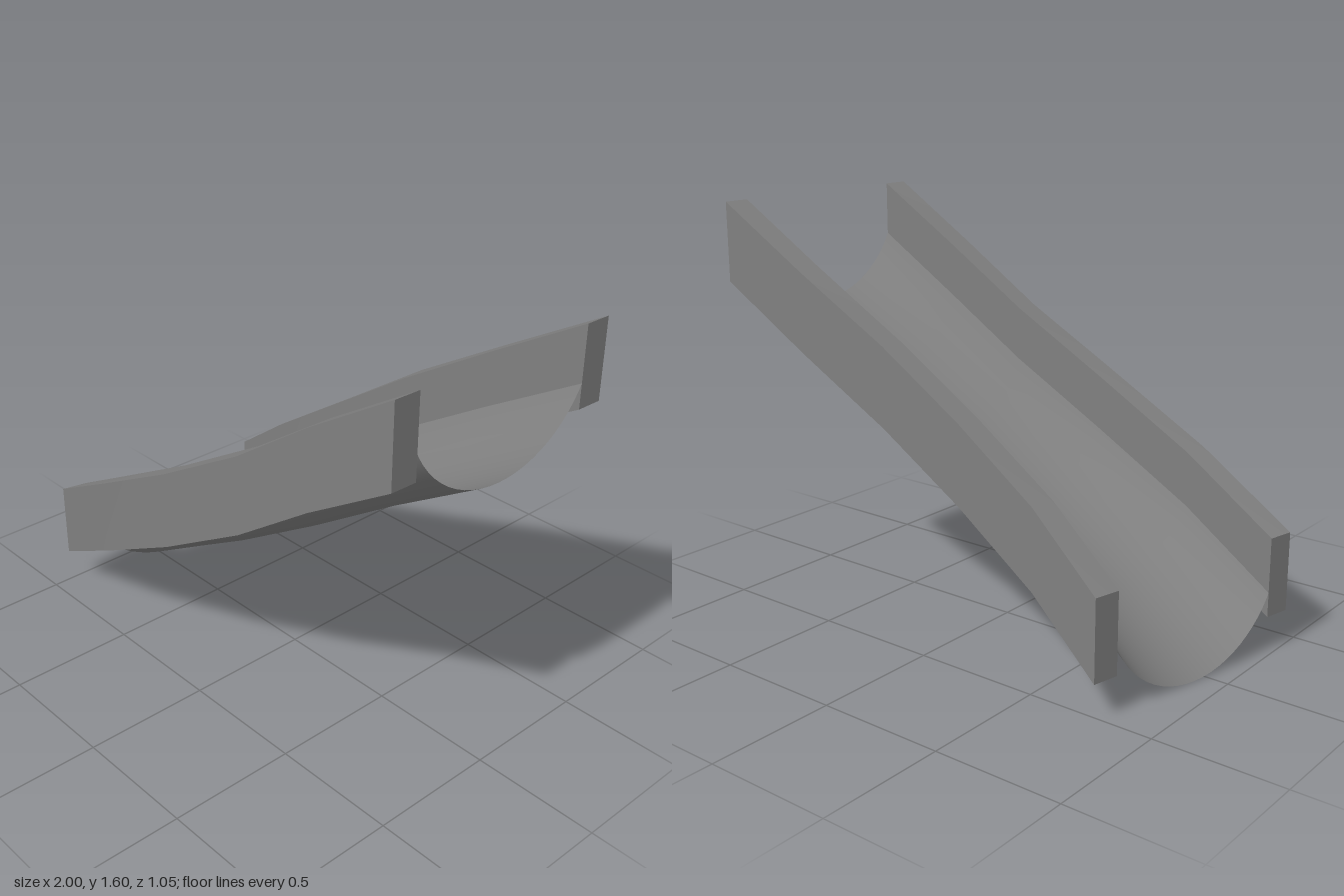
import * as THREE from 'three';
import { mergeGeometries } from 'three/addons/utils/BufferGeometryUtils.js';

// Stations along the chute: centre x, base height y, centre z, heading of the cross-section
const STATIONS = [
  [-0.895, 0.14, -0.055, -0.217],
  [-0.53, 0.37, 0.0125, -0.1],
  [-0.14, 0.6, 0.0325, 0],
  [0.235, 0.83, 0.02, 0.06],
  [0.6, 1.06, 0.003, 0],
  [0.985, 1.29, 0.005, -0.03],
];
const INNER = 0.383, OUTER = 0.487, RAIL_HEIGHT = 0.31;
const RADIUS = 0.429, DEPTH = 0.14, TROUGH_HALF = 0.395;

// Place a cross-section point (sideways w, height h) at a station
function place([x, y, z, a], [w, h]) {
  return [x + w * Math.sin(a), y + h, z + w * Math.cos(a)];
}

// Skin a grid of points; rows share smooth normals
function skin(rows) {
  const n = rows[0].length, index = [];
  for (let i = 0; i < rows.length - 1; i++) {
    for (let j = 0; j < n - 1; j++) {
      const a = i * n + j, b = a + n;
      index.push(a, b, b + 1, a, b + 1, a + 1);
    }
  }
  const g = new THREE.BufferGeometry();
  g.setAttribute('position', new THREE.Float32BufferAttribute(rows.flat(2), 3));
  g.setIndex(index);
  g.computeVertexNormals();
  return g;
}

const sweep = (profile) => skin(STATIONS.map((s) => profile.map((p) => place(s, p))));

// Rectangular side rail: four swept faces with sharp edges, plus end caps
function railGeometry(lo, hi) {
  const c = [[hi, 0], [hi, RAIL_HEIGHT], [lo, RAIL_HEIGHT], [lo, 0]];
  const parts = c.map((p, k) => sweep([p, c[(k + 1) % 4]]));
  const first = c.map((p) => place(STATIONS[0], p));
  const last = c.map((p) => place(STATIONS[STATIONS.length - 1], p));
  parts.push(skin([[first[0], first[3]], [first[1], first[2]]]));
  parts.push(skin([[last[0], last[1]], [last[3], last[2]]]));
  return mergeGeometries(parts);
}

// Thin trough: a circular arc whose edges tuck into the rails
function troughGeometry() {
  const half = Math.asin(TROUGH_HALF / RADIUS), profile = [], segments = 24;
  for (let i = 0; i <= segments; i++) {
    const t = half * (1 - (2 * i) / segments);
    profile.push([RADIUS * Math.sin(t), RADIUS * (1 - Math.cos(t)) - DEPTH]);
  }
  return sweep(profile);
}

export function createModel() {
  const group = new THREE.Group();
  group.name = 'slide';
  const grey = new THREE.MeshStandardMaterial({ color: 0x808080, side: THREE.DoubleSide });
  grey.name = 'grey';

  const add = (name, geometry) => {
    const mesh = new THREE.Mesh(geometry, grey);
    mesh.name = name;
    group.add(mesh);
  };
  add('trough', troughGeometry());
  add('frontRail', railGeometry(INNER, OUTER));
  add('backRail', railGeometry(-OUTER, -INNER));
  return group;
}
